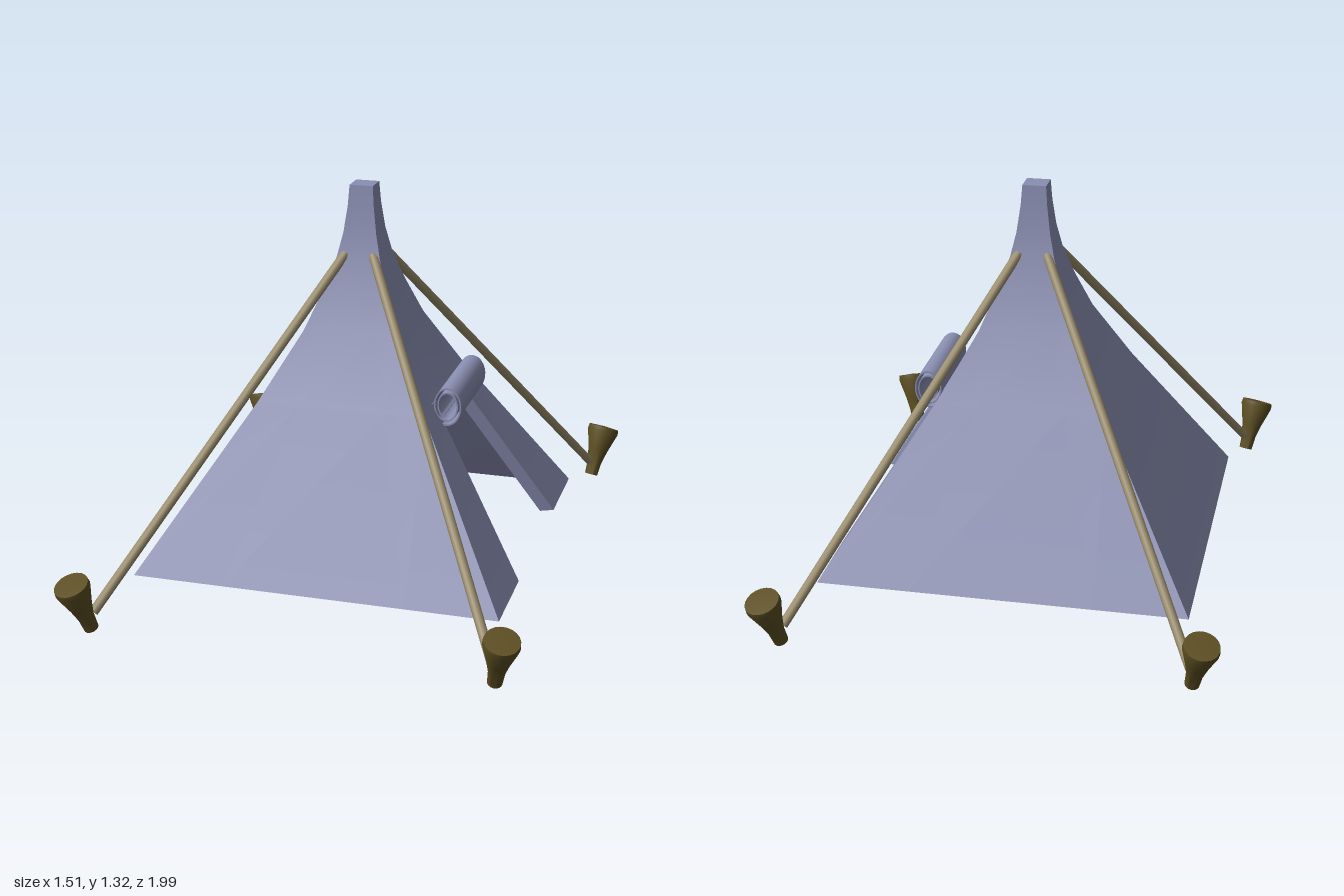
import * as THREE from 'three';
import { toCreasedNormals } from 'three/addons/utils/BufferGeometryUtils.js';

const canvas = new THREE.MeshStandardMaterial({ color: 0x8a8fb2, side: THREE.DoubleSide });
const ropeMat = new THREE.MeshStandardMaterial({ color: 0x9a8d6c });
const wood = new THREE.MeshStandardMaterial({ color: 0x5c4e22 });

// Rows of the tent wall: [height, half width]
const ROWS = [[0.085, 0.62], [0.615, 0.29], [0.84, 0.165], [0.97, 0.112],
  [1.08, 0.075], [1.16, 0.057], [1.25, 0.045], [1.32, 0.04]];
const WALL = 0.045;
const SPLITS = [-1, -0.5, 0.5, 1];

function named(name, geometry, material) {
  const mesh = new THREE.Mesh(geometry, material);
  mesh.name = name;
  return mesh;
}

// Point on side k (0 front, 1 door side, 2 back, 3 other side)
function wallPoint(k, u, row, inset) {
  const [y, half] = ROWS[row];
  const h = Math.max(half - inset, 0.01);
  return new THREE.Vector3(u * h, y, h).applyAxisAngle(new THREE.Vector3(0, 1, 0), k * Math.PI / 2);
}

function tentGeometry() {
  const pos = [];
  const quad = (a, b, c, d) => [a, b, c, a, c, d].forEach(p => pos.push(p.x, p.y, p.z));
  for (let k = 0; k < 4; k++) {
    const out = (u, r) => wallPoint(k, u, r, 0);
    const inn = (u, r) => wallPoint(k, u, r, WALL);
    for (let s = 0; s < 3; s++) {
      const a = SPLITS[s], b = SPLITS[s + 1];
      const doorway = k === 1 && s === 1;
      for (let r = doorway ? 1 : 0; r < ROWS.length - 1; r++) {
        quad(out(a, r), out(b, r), out(b, r + 1), out(a, r + 1));
        quad(inn(b, r), inn(a, r), inn(a, r + 1), inn(b, r + 1));
      }
      // Hem along the bottom, or lintel over the doorway
      const low = doorway ? 1 : 0;
      quad(inn(a, low), inn(b, low), out(b, low), out(a, low));
      if (doorway) { // door jambs
        quad(out(a, 0), inn(a, 0), inn(a, 1), out(a, 1));
        quad(inn(b, 0), out(b, 0), out(b, 1), inn(b, 1));
      }
    }
  }
  // Flat cap
  const top = ROWS.length - 1;
  quad(wallPoint(0, -1, top, 0), wallPoint(0, 1, top, 0), wallPoint(2, -1, top, 0), wallPoint(2, 1, top, 0));
  const g = new THREE.BufferGeometry();
  g.setAttribute('position', new THREE.Float32BufferAttribute(pos, 3));
  return toCreasedNormals(g, 0.5);
}

// Rolled-up door flap: a thin spiral strip drawn along z
function flapGeometry() {
  const outer = [], inner = [], n = 56, thick = 0.005;
  for (let i = 0; i <= n; i++) {
    const t = i / n;
    const angle = Math.PI + t * Math.PI * 2 * 2.2;
    const f = 1 - 0.45 * t;
    const at = d => new THREE.Vector2((0.055 * f - d) * Math.cos(angle), (0.074 * f - d) * Math.sin(angle));
    outer.push(at(0));
    inner.unshift(at(thick));
  }
  const g = new THREE.ExtrudeGeometry(new THREE.Shape([...outer, ...inner]),
    { depth: 0.365, bevelEnabled: false, steps: 1 });
  g.translate(0.336, 0.626, -0.1835);
  return toCreasedNormals(g, 0.6);
}

// Turns a geometry standing along y so that it runs from a to b
function aim(mesh, a, b, origin) {
  mesh.quaternion.setFromUnitVectors(new THREE.Vector3(0, 1, 0), b.clone().sub(a).normalize());
  mesh.position.copy(origin);
  return mesh;
}

export function createModel() {
  const model = new THREE.Group();
  model.name = 'tent';
  model.add(named('tentCanvas', tentGeometry(), canvas));
  model.add(named('rolledDoorFlap', flapGeometry(), canvas));

  // Peg profile, foot at the origin
  const profile = [[0, 0], [0.024, 0], [0.027, 0.05], [0.038, 0.1], [0.059, 0.172], [0.057, 0.19], [0, 0.193]]
    .map(p => new THREE.Vector2(...p));
  const pegGeo = toCreasedNormals(new THREE.LatheGeometry(profile, 20), 0.7);

  for (const sx of [-1, 1]) for (const sz of [-1, 1]) {
    const at = (x, y, z) => new THREE.Vector3(x * sx, y, z * sz);
    // Guy rope
    const high = at(0.048, 1.09, 0.062), low = at(0.655, 0.065, 0.875);
    const rope = named('guyRope', new THREE.CylinderGeometry(0.016, 0.016, high.distanceTo(low), 10), ropeMat);
    model.add(aim(rope, low, high, low.clone().lerp(high, 0.5)));
    // Peg leaning outward
    const foot = at(0.664, 0.009, 0.876), head = at(0.698, 0.19, 0.943);
    model.add(aim(named('peg', pegGeo, wood), foot, head, foot));
  }
  return model;
}
